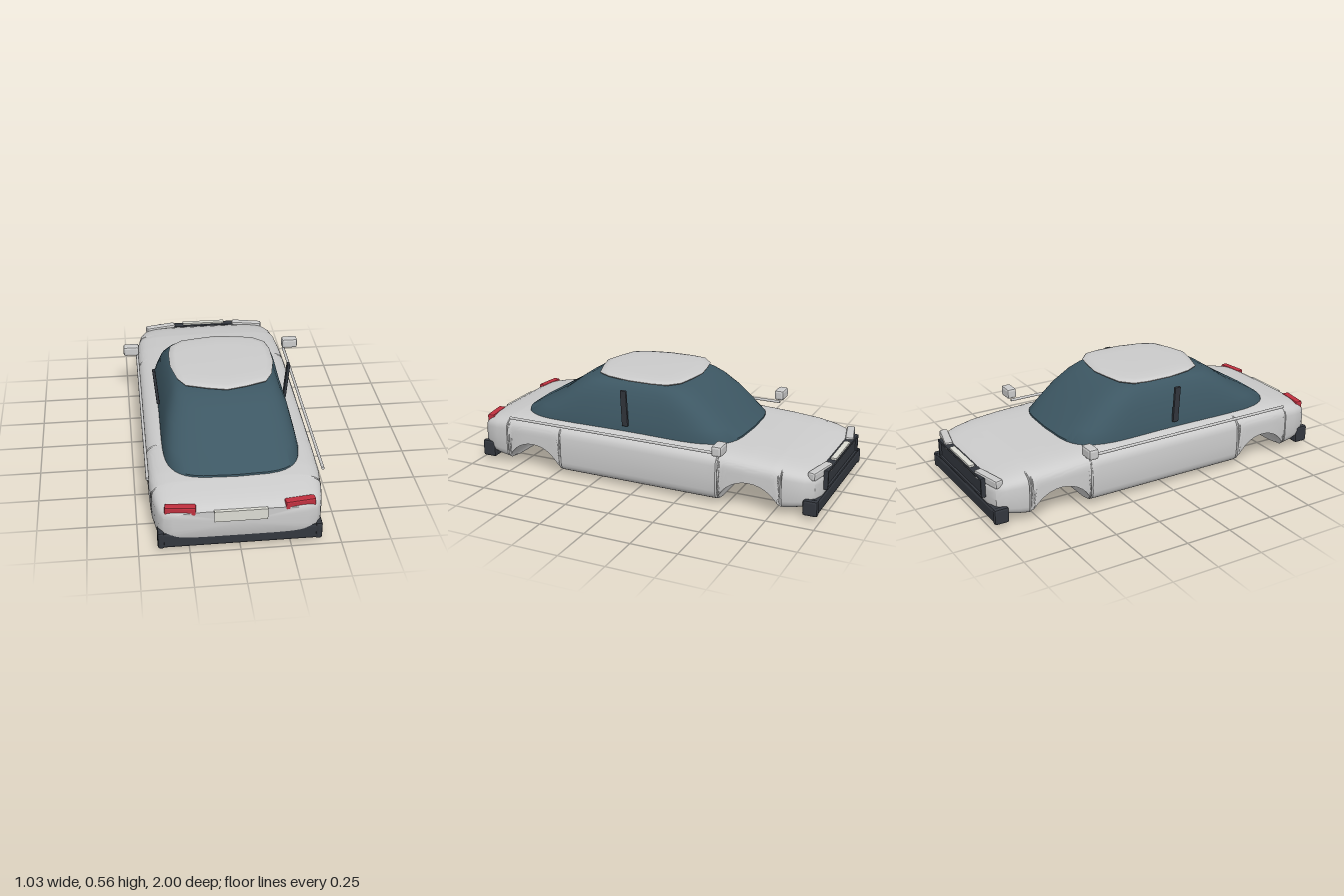
import * as THREE from 'three';
import { toCreasedNormals } from 'three/addons/utils/BufferGeometryUtils.js';
import { RoundedBoxGeometry } from 'three/addons/geometries/RoundedBoxGeometry.js';

const paint = (color) => new THREE.MeshStandardMaterial({ color });
const GREY = paint(0xcccccc), GLASS = paint(0x3d5763), DARK = paint(0x33373e),
  RED = paint(0xc0303f), PLATE = paint(0xdcdcd4);

// Signed power, used for superellipse outlines
const spow = (v, p) => Math.sign(v) * Math.abs(v) ** p;

// Piecewise linear lookup in rows [key, a, b, ...]
function lookup(rows, k) {
  let i = 0;
  while (i < rows.length - 2 && k > rows[i + 1][0]) i++;
  const t = (k - rows[i][0]) / (rows[i + 1][0] - rows[i][0]);
  return rows[i].map((v, c) => v + (rows[i + 1][c] - v) * t);
}

// Skin over closed rings with fan caps at both ends
function loft(rings, crease) {
  const n = rings[0].length, pos = [], idx = [];
  rings.forEach((r) => r.forEach((p) => pos.push(...p)));
  for (let i = 0; i < rings.length - 1; i++)
    for (let j = 0; j < n; j++) {
      const a = i * n + j, b = i * n + (j + 1) % n;
      idx.push(a, b, a + n, b, b + n, a + n);
    }
  [0, rings.length - 1].forEach((r, end) => {
    const c = pos.length / 3;
    pos.push(...[0, 1, 2].map((k) => rings[r].reduce((s, p) => s + p[k], 0) / n));
    for (let j = 0; j < n; j++) {
      const a = r * n + j, b = r * n + (j + 1) % n;
      idx.push(c, end ? a : b, end ? b : a);
    }
  });
  const g = new THREE.BufferGeometry();
  g.setAttribute('position', new THREE.Float32BufferAttribute(pos, 3));
  g.setIndex(idx);
  return toCreasedNormals(g, crease);
}

// Lower body: sections along z, with wheel tunnels cut into the underside
function bodyGeometry() {
  // z, half width, bottom, top
  const keys = [
    [-0.975, 0.31, 0.09, 0.205], [-0.955, 0.36, 0.06, 0.225], [-0.91, 0.39, 0.04, 0.243],
    [-0.85, 0.41, 0.03, 0.257], [-0.75, 0.425, 0.015, 0.273], [-0.6, 0.432, 0.008, 0.285],
    [-0.4, 0.435, 0.005, 0.295], [0, 0.435, 0.005, 0.3], [0.5, 0.435, 0.005, 0.3],
    [0.7, 0.432, 0.012, 0.296], [0.8, 0.425, 0.02, 0.289], [0.88, 0.414, 0.032, 0.275],
    [0.94, 0.398, 0.045, 0.262], [0.97, 0.375, 0.06, 0.25], [0.985, 0.33, 0.09, 0.235],
  ];
  const R = 0.177, archY = -0.02, arches = [-0.625, 0.635], N = 5.5;
  const zs = keys.map((k) => k[0]);
  arches.forEach((c) => {
    for (let i = 0; i <= 18; i++) zs.push(c + R * Math.cos((Math.PI * i) / 18));
  });
  zs.sort((a, b) => a - b);
  return loft(zs.map((z) => {
    const [, w, bottom, top] = lookup(keys, z);
    let low = bottom;
    arches.forEach((c) => {
      const d = R * R - (z - c) ** 2;
      if (d > 0) low = Math.max(low, archY + Math.sqrt(d));
    });
    const mid = (top + bottom) / 2, half = (top - bottom) / 2;
    const start = Math.asin(spow(Math.max(-1, (low - mid) / half), N / 2));
    return Array.from({ length: 49 }, (_, j) => {
      const a = start + (Math.PI - 2 * start) * (j / 48);
      return [w * spow(Math.cos(a), 2 / N), mid + half * spow(Math.sin(a), 2 / N), z];
    });
  }), 0.6);
}

// Glass cabin: horizontal sections stacked upward
function cabinGeometry() {
  // y, front z, rear z, half width
  const levels = [
    [0.27, -0.5, 0.79, 0.362], [0.3, -0.5, 0.785, 0.36], [0.35, -0.445, 0.7, 0.349],
    [0.43, -0.355, 0.56, 0.328], [0.495, -0.265, 0.47, 0.297], [0.525, -0.21, 0.41, 0.272],
    [0.538, -0.17, 0.35, 0.245], [0.545, -0.1, 0.28, 0.19],
  ];
  return loft(levels.map(([y, front, rear, w]) => Array.from({ length: 48 }, (_, j) => {
    const a = (j / 48) * Math.PI * 2;
    const x = spow(Math.cos(a), 2 / 5), z = -spow(Math.sin(a), 2 / 5);
    const waist = 0.96 + 0.06 * z * z;
    const bow = 1 - 0.04 * x * x; // screens bow out at the centre
    return [x * w * waist, y, (front + rear) / 2 + z * bow * (rear - front) / 2];
  })), 0.8);
}

// Roof panel: thin lens over a rounded outline
function roofGeometry() {
  const half = [[0, 0.39], [0.1, 0.365], [0.21, 0.325], [0.25, 0.25], [0.277, 0.12],
    [0.277, -0.02], [0.262, -0.1], [0.2, -0.155], [0.1, -0.175], [0, -0.19]];
  const outline = [...half, ...half.slice(1, -1).reverse().map(([x, z]) => [-x, z])];
  // scale, y
  const layers = [[0.75, 0.537], [0.93, 0.541], [0.99, 0.547], [1, 0.553], [0.98, 0.559], [0.88, 0.564], [0.6, 0.567]];
  return loft(layers.map(([s, y]) => outline.map(([x, z]) => [x * s, y, 0.1 + (z - 0.1) * s])), 0.9);
}

export function createModel() {
  const model = new THREE.Group();
  const add = (name, geometry, material, x = 0, y = 0, z = 0) => {
    const m = new THREE.Mesh(geometry, material);
    m.name = name;
    m.position.set(x, y, z);
    model.add(m);
    return m;
  };
  const block = (w, h, d, r) => toCreasedNormals(new RoundedBoxGeometry(w, h, d, 1, r), 0.3);

  add('body', bodyGeometry(), GREY);
  add('cabinGlass', cabinGeometry(), GLASS);
  add('roofPanel', roofGeometry(), GREY);

  // Bumpers
  add('rearBumper', block(0.81, 0.09, 0.075, 0.015), DARK, 0, 0.07, 0.943);
  add('noseBumper', block(0.8, 0.08, 0.075, 0.015), DARK, 0, 0.065, -0.945);
  for (const s of [-1, 1]) {
    add('rearBumperEnd', block(0.035, 0.095, 0.08, 0.012), DARK, s * 0.388, 0.073, 0.945);
    add('noseBumperEnd', block(0.035, 0.085, 0.08, 0.012), DARK, s * 0.385, 0.066, -0.945);
  }

  // Grille: a panel inside a raised frame
  add('grille', new THREE.BoxGeometry(0.55, 0.09, 0.04), DARK, 0, 0.18, -0.966);
  for (const s of [-1, 1]) {
    add('grilleFrameBar', block(0.56, 0.014, 0.05, 0.004), DARK, 0, 0.18 + s * 0.046, -0.973);
    add('grilleFrameSide', block(0.014, 0.1, 0.05, 0.004), DARK, s * 0.273, 0.18, -0.973);
  }

  // Number plates
  add('rearPlate', new THREE.BoxGeometry(0.26, 0.06, 0.02), PLATE, 0, 0.21, 0.987);
  add('nosePlate', new THREE.BoxGeometry(0.26, 0.03, 0.03), PLATE, 0, 0.228, -0.978);

  // Parts on both sides
  for (const s of [-1, 1]) {
    add('headlight', block(0.185, 0.045, 0.045, 0.01), GREY, s * 0.273, 0.222, -0.953).rotation.y = -s * 0.22;
    add('tailLight', block(0.152, 0.047, 0.04, 0.008), RED, s * 0.291, 0.239, 0.958).rotation.y = s * 0.13;
    add('mirror', block(0.092, 0.058, 0.055, 0.013), GREY, s * 0.471, 0.334, -0.485);
    add('doorPillar', block(0.016, 0.205, 0.035, 0.004), DARK, s * 0.355, 0.423, 0.105).rotation.z = -s * 0.09;
    add('sideTrim', new THREE.CylinderGeometry(0.008, 0.008, 1.26, 8), GREY, s * 0.437, 0.294, 0.14).rotation.x = Math.PI / 2;
  }
  return model;
}
